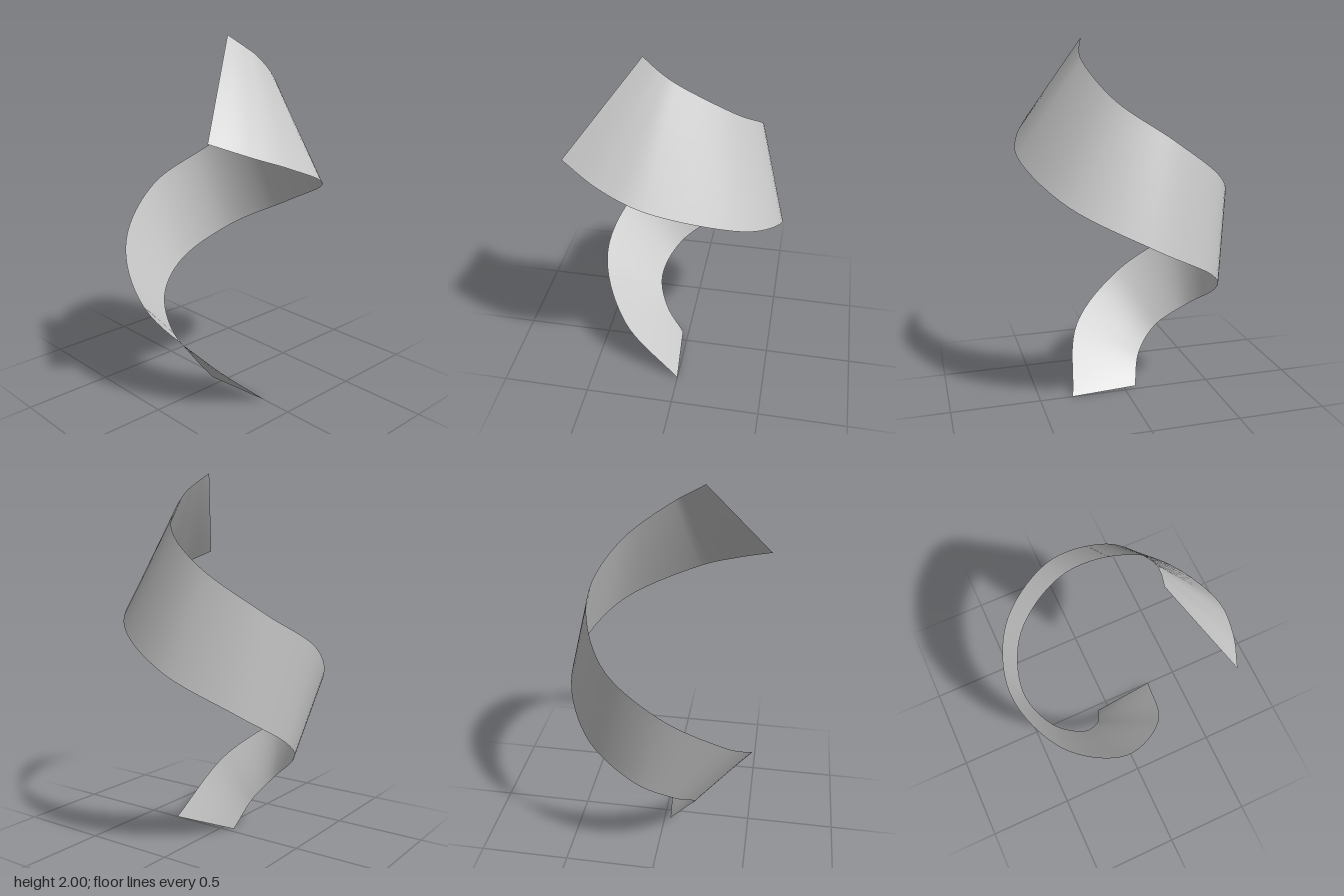
import * as THREE from 'three';

const curve = (points) =>
  new THREE.CatmullRomCurve3(points.map((p) => new THREE.Vector3(...p)));

// The two edges of the ribbon, one point per eighth of a turn
const lowerEdge = curve([
  [-0.07, 0, 0.035], [-0.125, 0.16, 0.147], [-0.24, 0.3, 0.197], [-0.41, 0.45, 0.11],
  [-0.493, 0.6, -0.1], [-0.37, 0.785, -0.38], [-0.01, 0.99, -0.53], [0.39, 1.195, -0.355],
  [0.573, 1.385, 0.1], [0.538, 1.47, 0.33], [0.447, 1.55, 0.525],
]);
const upperEdge = curve([
  [0.315, 0, 0], [0.21, 0.31, 0.335], [-0.1, 0.575, 0.5], [-0.43, 0.835, 0.365],
  [-0.575, 1.09, 0.04], [-0.455, 1.28, -0.255], [-0.15, 1.505, -0.385], [0.125, 1.7, -0.265],
  [0.237, 1.89, 0], [0.23, 1.94, 0.08], [0.2, 2, 0.17],
]);

// Ruled surface: straight cross lines joining two curves
function ruledSurface(a, b, along, across) {
  const geometry = new THREE.PlaneGeometry(1, 1, across, along);
  const position = geometry.attributes.position;
  for (let i = 0, n = 0; i <= along; i++) {
    const start = a.getPoint(i / along);
    const end = b.getPoint(i / along);
    for (let j = 0; j <= across; j++, n++) {
      const p = start.clone().lerp(end, j / across);
      position.setXYZ(n, p.x, p.y, p.z);
    }
  }
  geometry.computeVertexNormals();
  return geometry;
}

export function createModel() {
  const group = new THREE.Group();
  group.name = 'twistedRibbon';
  const material = new THREE.MeshStandardMaterial({ color: 0xcccccc, side: THREE.DoubleSide });

  // Ribbon climbing a little over one turn, flat at the foot and leaning inward at the top
  const ribbon = new THREE.Mesh(ruledSurface(lowerEdge, upperEdge, 80, 6), material);
  ribbon.name = 'ribbon';
  group.add(ribbon);
  return group;
}
